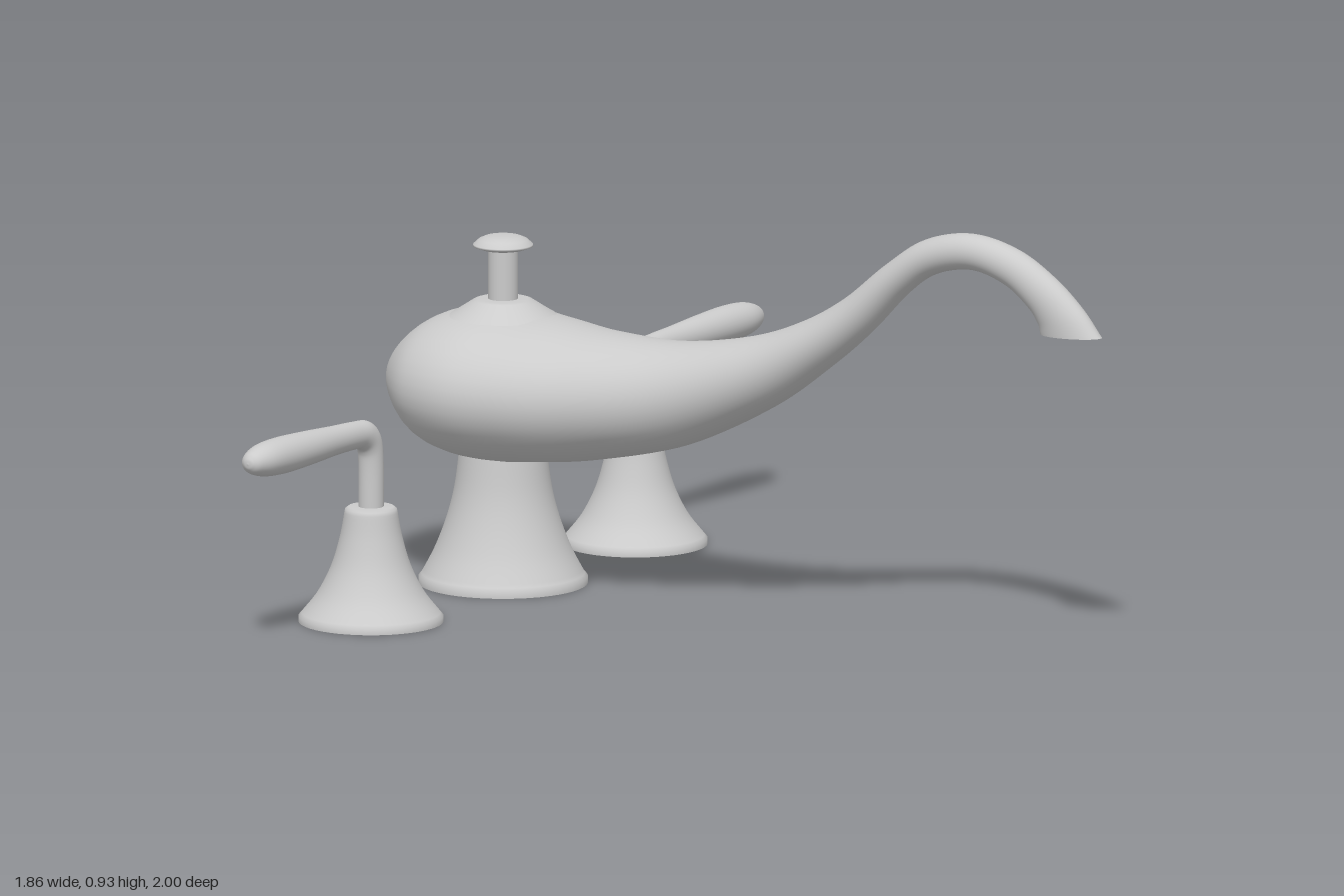
import * as THREE from 'three';

const material = new THREE.MeshStandardMaterial({ color: 0xcccccc, side: THREE.DoubleSide });
const AXIS_X = -0.667;

function addMesh(parent, name, geometry) {
  const mesh = new THREE.Mesh(geometry, material);
  mesh.name = name;
  parent.add(mesh);
  return mesh;
}

// Smooth skin through elliptical sections: [top x, top y, bottom x, bottom y, half width]
function loft(sections, steps, sides = 40) {
  const tops = new THREE.CatmullRomCurve3(sections.map(s => new THREE.Vector3(s[0], s[1], s[4])), false, 'catmullrom');
  const bottoms = new THREE.CatmullRomCurve3(sections.map(s => new THREE.Vector3(s[2], s[3], 0)), false, 'catmullrom');
  const positions = [], index = [];
  for (let i = 0; i <= steps; i++) {
    const a = tops.getPoint(i / steps), b = bottoms.getPoint(i / steps);
    for (let j = 0; j < sides; j++) {
      const angle = j / sides * Math.PI * 2, c = Math.cos(angle);
      positions.push(
        (a.x + b.x) / 2 + (a.x - b.x) / 2 * c,
        (a.y + b.y) / 2 + (a.y - b.y) / 2 * c,
        a.z * Math.sin(angle));
      if (i < steps) {
        const p = i * sides + j, q = i * sides + (j + 1) % sides;
        index.push(p, q, p + sides, q, q + sides, p + sides);
      }
    }
  }
  const geometry = new THREE.BufferGeometry();
  geometry.setAttribute('position', new THREE.Float32BufferAttribute(positions, 3));
  geometry.setIndex(index);
  geometry.computeVertexNormals();
  return geometry;
}

const lathe = points => new THREE.LatheGeometry(points.map(p => new THREE.Vector2(...p)), 48);

// Flared bell: a short foot, then a smooth curve, then optional extra points
function bell(foot, curve, end = []) {
  const flare = new THREE.SplineCurve(curve.map(p => new THREE.Vector2(...p)));
  return lathe([...foot, ...flare.getPoints(20).map(p => [p.x, p.y]), ...end]);
}

export function createModel() {
  const model = new THREE.Group();
  model.name = 'faucet';

  // Bulbous body drawn out into a swan-neck spout
  const outlet = [0.925, 0.73, 0.768, 0.724, 0.036];
  addMesh(model, 'spoutBody', loft([
    [-0.93, 0.455, -0.93, 0.455, 0],
    [-0.918, 0.51, -0.918, 0.4, 0.085],
    [-0.855, 0.57, -0.855, 0.335, 0.172],
    [-0.78, 0.604, -0.78, 0.295, 0.23],
    [-0.675, 0.618, -0.675, 0.28, 0.255],
    [-0.55, 0.606, -0.55, 0.287, 0.235],
    [-0.4, 0.593, -0.39, 0.31, 0.186],
    [-0.2, 0.594, -0.17, 0.366, 0.13],
    [0, 0.63, 0.05, 0.474, 0.09],
    [0.14, 0.682, 0.2, 0.58, 0.068],
    [0.25, 0.746, 0.31, 0.672, 0.054],
    [0.36, 0.835, 0.41, 0.772, 0.046],
    [0.46, 0.9, 0.49, 0.826, 0.042],
    [0.58, 0.926, 0.59, 0.846, 0.04],
    [0.7, 0.904, 0.68, 0.822, 0.039],
    [0.8, 0.85, 0.738, 0.78, 0.038],
    [0.875, 0.788, 0.762, 0.748, 0.037],
    outlet,
  ], 136));

  // Recessed outlet: thin rim, walls and closed floor
  addMesh(model, 'outletRim', loft([outlet, [0.907, 0.7293, 0.784, 0.7247, 0.027]], 1));
  addMesh(model, 'outletRecess', loft([
    [0.907, 0.7293, 0.784, 0.7247, 0.027], [0.86, 0.78, 0.776, 0.752, 0.027]], 2));
  addMesh(model, 'outletFloor', loft([
    [0.86, 0.78, 0.776, 0.752, 0.027], [0.818, 0.766, 0.818, 0.766, 0]], 1));

  // Open-bottomed pedestal under the body
  addMesh(model, 'pedestal', bell([[0.187, 0], [0.187, 0.014]],
    [[0.18, 0.022], [0.15, 0.08], [0.124, 0.15], [0.107, 0.22], [0.096, 0.31]])).position.x = AXIS_X;

  // Collar and lift knob on top of the body
  addMesh(model, 'collar', lathe([[0.12, 0.6], [0.1, 0.612], [0.065, 0.635], [0.055, 0.638], [0, 0.638]].reverse()
    .reverse())).position.x = AXIS_X;
  const rod = addMesh(model, 'knobRod', new THREE.CylinderGeometry(0.033, 0.033, 0.14, 32, 1, true));
  rod.position.set(AXIS_X, 0.69, 0);
  addMesh(model, 'knobCap', lathe([[0.03, 0.748], [0.05, 0.75], [0.066, 0.756], [0.066, 0.76],
    [0.054, 0.771], [0.04, 0.777], [0.02, 0.78], [0, 0.78]])).position.x = AXIS_X;

  // Two mirrored handles, each a bell base and a bent lever pointing outward
  for (const [name, side] of [['frontHandle', 1], ['backHandle', -1]]) {
    const handle = new THREE.Group();
    handle.name = name;
    handle.position.set(AXIS_X, 0, side * 0.517);
    handle.rotation.y = -side * Math.PI / 2;
    addMesh(handle, 'handleBase', bell([[0.16, 0], [0.16, 0.012]],
      [[0.153, 0.02], [0.118, 0.065], [0.088, 0.125], [0.069, 0.19], [0.059, 0.245]],
      [[0.057, 0.253], [0.05, 0.258], [0, 0.258]]));
    addMesh(handle, 'lever', loft([
      [-0.028, 0.25, 0.028, 0.25, 0.028],
      [-0.028, 0.36, 0.028, 0.35, 0.028],
      [-0.018, 0.42, 0.033, 0.382, 0.028],
      [0.015, 0.452, 0.048, 0.394, 0.028],
      [0.07, 0.459, 0.07, 0.397, 0.028],
      [0.15, 0.463, 0.15, 0.397, 0.031],
      [0.25, 0.469, 0.25, 0.393, 0.038],
      [0.35, 0.473, 0.35, 0.391, 0.042],
      [0.42, 0.47, 0.42, 0.396, 0.04],
      [0.463, 0.459, 0.463, 0.407, 0.028],
      [0.479, 0.446, 0.479, 0.42, 0.014],
      [0.483, 0.433, 0.483, 0.433, 0],
    ], 88, 32));
    model.add(handle);
  }
  return model;
}
